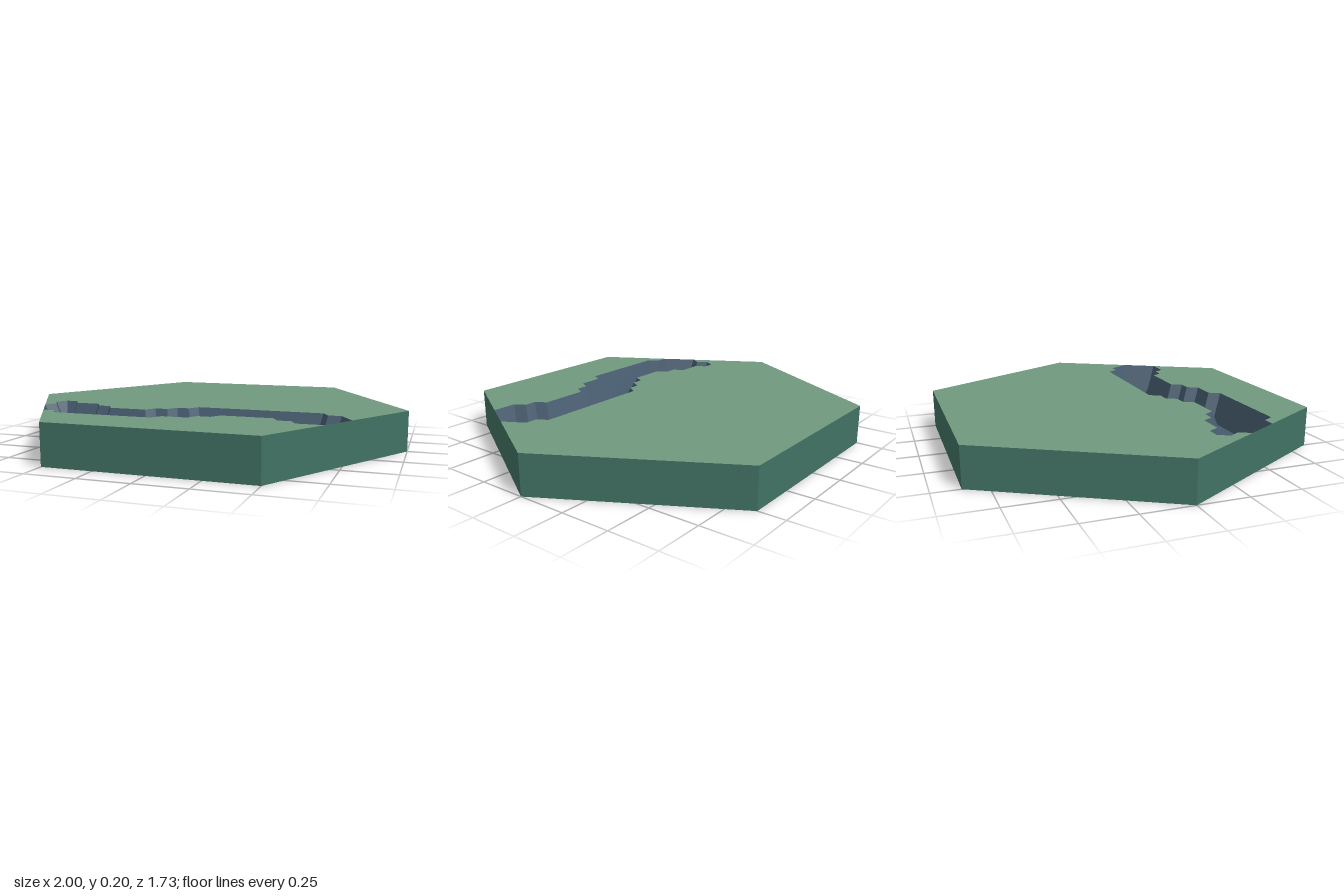
import * as THREE from 'three';

const HEIGHT = 0.2, DEPTH = 0.15;
const U = 1 / 32, V = Math.sqrt(3) / 32; // triangular lattice steps in x and z
const R = Math.sqrt(3) / 2;

// River rim and the floor point below each rim point, in lattice steps: [rimX, rimZ, floorX, floorZ]
const backBank = [
  [-25, 7, -23, 7], [-24, 6, -22, 6], [-25, 5, -23, 5], [-24, 4, -23, 5], [-22, 4, -23, 5],
  [-21, 5, -22, 6], [-17, 5, -18, 6], [-16, 6, -17, 7], [-14, 6, -15, 7], [-13, 7, -14, 8],
  [-7, 7, -6, 8], [-6, 6, -5, 7], [-4, 6, -3, 7], [-3, 5, -2, 6], [-1, 5, 0, 6],
  [0, 4, 1, 5], [20, 4, 19, 5], [21, 5, 20, 6], [23, 5, 22, 6], [25, 7, 23, 7],
];
const frontBank = [
  [22, 10, 21, 9], [18, 10, 19, 9], [17, 9, 18, 8], [15, 9, 16, 8], [14, 8, 15, 7],
  [6, 8, 5, 7], [5, 9, 4, 8], [3, 9, 2, 8], [2, 10, 1, 9], [-2, 10, -3, 9],
  [-3, 11, -4, 10], [-19, 11, -18, 10], [-20, 10, -19, 9], [-22, 10, -21, 9], 
];

const rim = ([x, z]) => [x * U, z * V];
const floor = ([, , x, z]) => [x * U, z * V];

function material(color) {
  return new THREE.MeshStandardMaterial({ color, flatShading: true });
}

function addMesh(parent, name, geometry, mat) {
  const mesh = new THREE.Mesh(geometry, mat);
  mesh.name = name;
  parent.add(mesh);
  return mesh;
}

// Flat polygon facing up, from [x, z] points
function flatPolygon(points, y) {
  const shape = new THREE.Shape(points.map(([x, z]) => new THREE.Vector2(x, -z)));
  return new THREE.ShapeGeometry(shape).rotateX(-Math.PI / 2).translate(0, y, 0);
}

// Sloping walls between the rim and the floor outline
function bankWalls(bank) {
  const positions = [];
  const top = (p) => { const [x, z] = rim(p); return [x, HEIGHT, z]; };
  const low = (p) => { const [x, z] = floor(p); return [x, HEIGHT - DEPTH, z]; };
  bank.forEach((p, i) => {
    const q = bank[(i + 1) % bank.length];
    positions.push(...top(p), ...low(p), ...top(q));
    const sameFloor = p[2] === q[2] && p[3] === q[3];
    if (!sameFloor) positions.push(...top(q), ...low(p), ...low(q));
  });
  const geometry = new THREE.BufferGeometry();
  geometry.setAttribute('position', new THREE.Float32BufferAttribute(positions, 3));
  geometry.computeVertexNormals();
  return geometry;
}

export function createModel() {
  const model = new THREE.Group();
  model.name = 'riverHexTile';
  const grass = material(0x70997e);
  const earth = material(0x427264);
  const water = material(0x465b6e);

  // Tile sides and underside
  const sides = new THREE.CylinderGeometry(1, 1, HEIGHT, 6, 1, true)
    .rotateY(Math.PI / 6).translate(0, HEIGHT / 2, 0);
  addMesh(model, 'tileSides', sides, earth);
  addMesh(model, 'tileBottom', new THREE.CircleGeometry(1, 6).rotateX(Math.PI / 2), earth);

  // Grass on either side of the river, which runs from edge to edge
  const backCorners = [[1, 0], [0.5, -R], [-0.5, -R], [-1, 0]];
  const frontCorners = [[-0.5, R], [0.5, R]];
  addMesh(model, 'backGrass', flatPolygon([...backBank.map(rim), ...backCorners], HEIGHT), grass);
  addMesh(model, 'frontGrass', flatPolygon([...frontBank.map(rim), ...frontCorners], HEIGHT), grass);

  // Sunken river; the small pit at its left end narrows to a point and has no floor
  const bank = [...backBank, ...frontBank];
  addMesh(model, 'riverBanks', bankWalls(bank), water);
  const floorOutline = bank.filter((p, i) => i < 2 || i > 5).map(floor);
  addMesh(model, 'riverFloor', flatPolygon(floorOutline, HEIGHT - DEPTH), water);

  return model;
}
